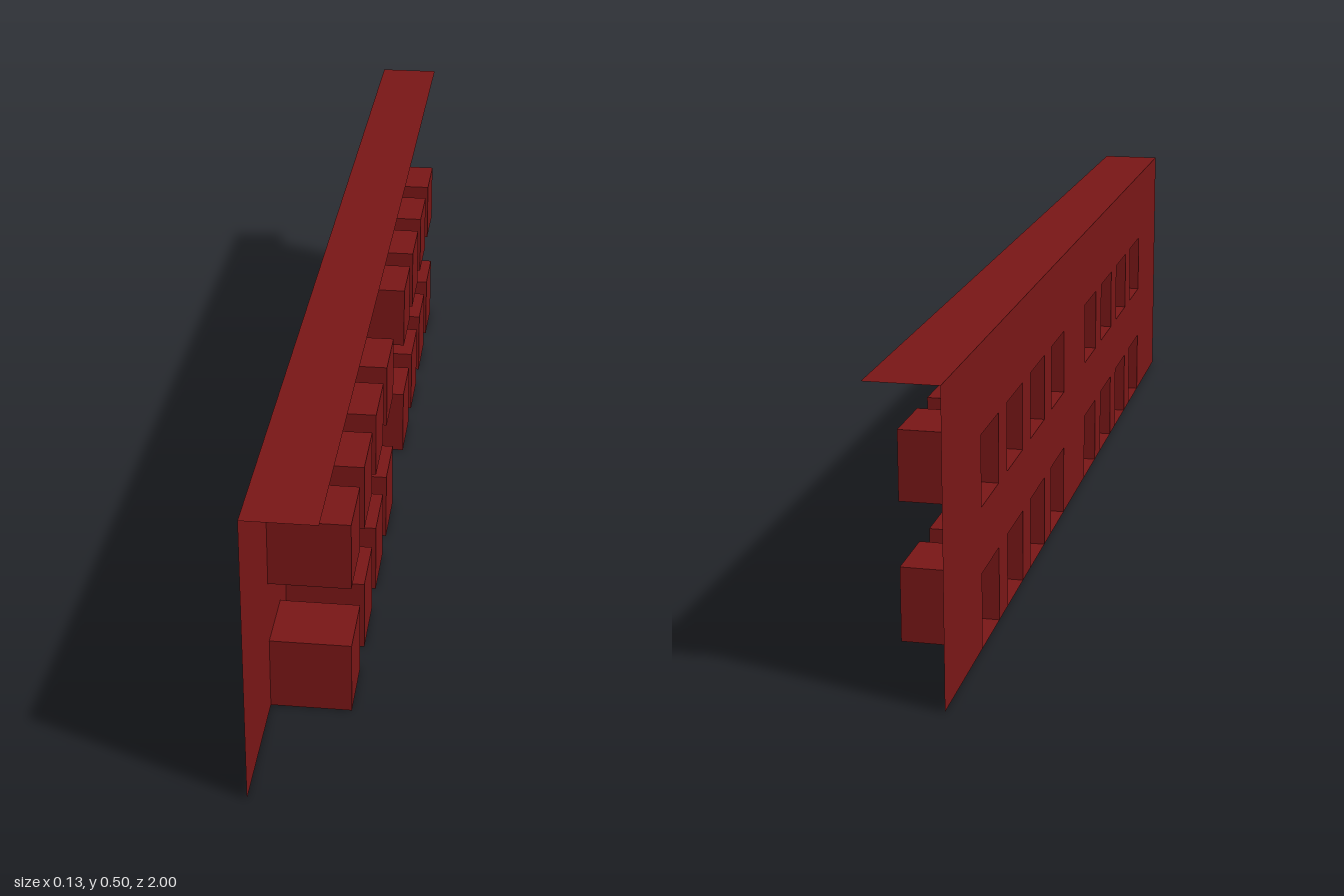
import * as THREE from 'three';

const BACK = -0.067, FRONT = 0.067, LEDGE = 0.05, HEIGHT = 0.5;
const BAY = 0.118; // bay width along z
const CENTRES = [0.164, 0.343, 0.523, 0.703];
const COLUMNS = [...CENTRES.map(c => -c).reverse(), ...CENTRES];
const ROWS = [
  { name: 'lowerBay', y0: 0, y1: 0.127 },
  { name: 'upperBay', y0: 0.237, y1: 0.355 },
];

const material = new THREE.MeshStandardMaterial({
  color: 0x781616, side: THREE.DoubleSide, flatShading: true,
});

function addMesh(parent, name, geometry) {
  const mesh = new THREE.Mesh(geometry, material);
  mesh.name = name;
  parent.add(mesh);
  return mesh;
}

// Thin wall, notched along its foot and pierced by the upper openings
function wallGeometry() {
  const [lower, upper] = ROWS;
  const h = BAY / 2;
  const shape = new THREE.Shape().moveTo(-1, 0);
  for (const c of COLUMNS) {
    shape.lineTo(c - h, 0).lineTo(c - h, lower.y1).lineTo(c + h, lower.y1).lineTo(c + h, 0);
    shape.holes.push(new THREE.Path()
      .moveTo(c - h, upper.y0).lineTo(c - h, upper.y1)
      .lineTo(c + h, upper.y1).lineTo(c + h, upper.y0).closePath());
  }
  shape.lineTo(1, 0).lineTo(1, HEIGHT).lineTo(-1, HEIGHT).closePath();
  return new THREE.ShapeGeometry(shape).rotateY(Math.PI / 2);
}

// Hollow box with its -x face left open
function bayGeometry(height) {
  const g = new THREE.BoxGeometry(FRONT - BACK, height, BAY);
  const index = Array.from(g.index.array);
  index.splice(6, 6);
  g.setIndex(index);
  g.clearGroups();
  return g;
}

export function createModel() {
  const model = new THREE.Group();
  model.name = 'wallWithBays';

  addMesh(model, 'wall', wallGeometry()).position.x = BACK;

  // Flat ledge along the top of the wall
  const ledge = new THREE.PlaneGeometry(LEDGE - BACK, 2).rotateX(-Math.PI / 2);
  addMesh(model, 'topLedge', ledge).position.set((BACK + LEDGE) / 2, HEIGHT, 0);

  // Two rows of projecting bays
  for (const { name, y0, y1 } of ROWS) {
    const geometry = bayGeometry(y1 - y0);
    for (const z of COLUMNS) {
      addMesh(model, name, geometry).position.set((BACK + FRONT) / 2, (y0 + y1) / 2, z);
    }
  }
  return model;
}
